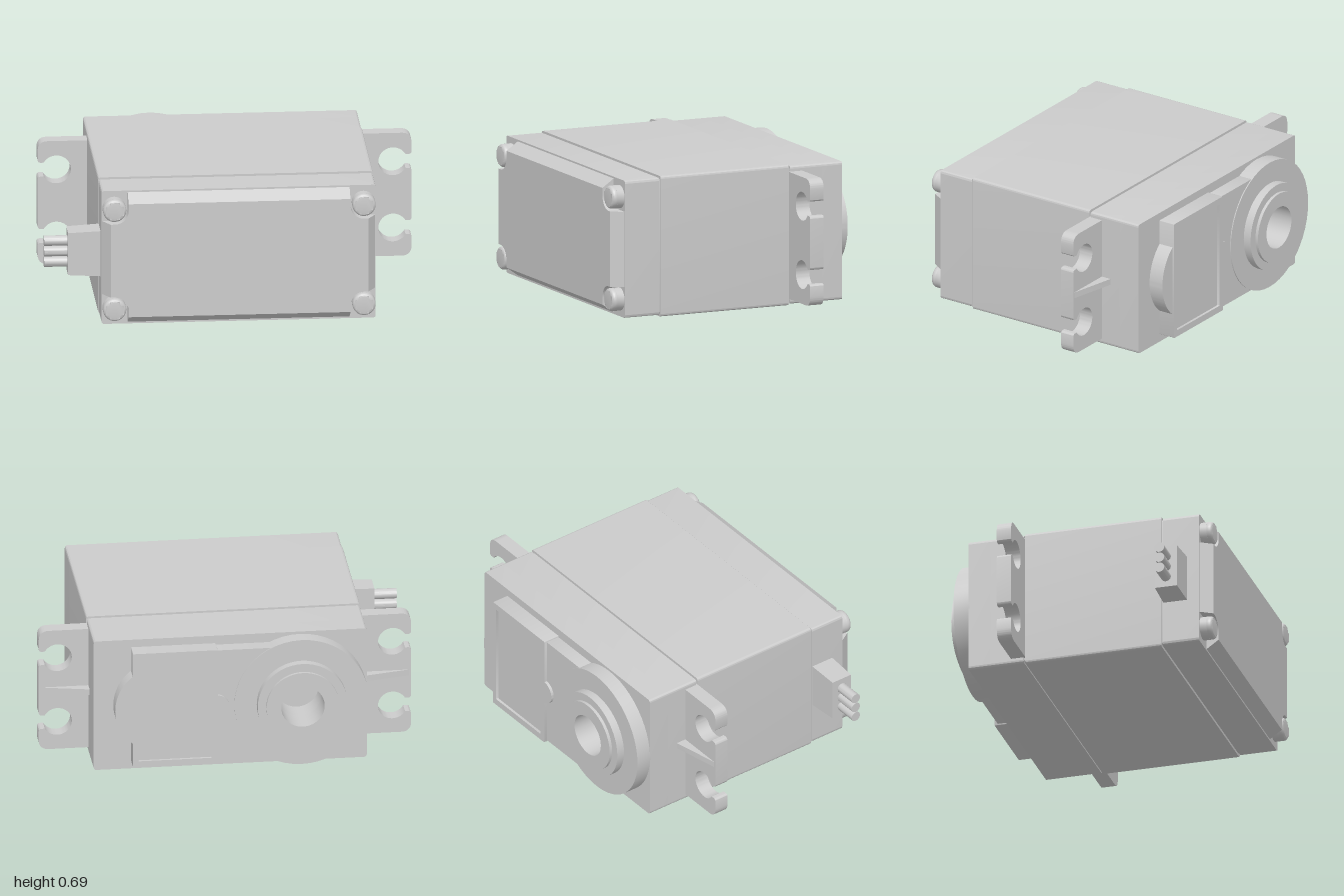
import * as THREE from 'three';
import { toCreasedNormals } from 'three/addons/utils/BufferGeometryUtils.js';

const material = new THREE.MeshStandardMaterial({ color: 0xcccccc });

function add(parent, name, geometry) {
  const mesh = new THREE.Mesh(toCreasedNormals(geometry, 0.55), material);
  mesh.name = name;
  parent.add(mesh);
  return mesh;
}

// Extrude a shape in the xy plane between two z levels
function slab(shape, z0, z1) {
  const g = new THREE.ExtrudeGeometry(shape, { depth: z1 - z0, bevelEnabled: false, curveSegments: 24 });
  return g.translate(0, 0, z0);
}

function rect(x0, x1, h, r = 0.004) {
  const s = new THREE.Shape();
  s.moveTo(x0 + r, -h);
  s.lineTo(x1 - r, -h).quadraticCurveTo(x1, -h, x1, -h + r);
  s.lineTo(x1, h - r).quadraticCurveTo(x1, h, x1 - r, h);
  s.lineTo(x0 + r, h).quadraticCurveTo(x0, h, x0, h - r);
  s.lineTo(x0, -h + r).quadraticCurveTo(x0, -h, x0 + r, -h);
  return s;
}

function circle(x, r, Type = THREE.Shape) {
  const s = new Type();
  s.absarc(x, 0, r, 0, Math.PI * 2, false);
  return s;
}

function withHole(shape, hole) {
  shape.holes.push(hole);
  return shape;
}

// Pan-head screw with a cross recess
function screw() {
  const g = new THREE.Group();
  g.name = 'coverScrew';
  add(g, 'screwBase', new THREE.CylinderGeometry(0.056, 0.056, 0.05, 28).rotateX(Math.PI / 2).translate(0, 0, 0.585));
  const a = 0.007, b = 0.027;
  const cross = new THREE.Path([[a, a], [b, a], [b, -a], [a, -a], [a, -b], [-a, -b], [-a, -a], [-b, -a],
    [-b, a], [-a, a], [-a, b], [a, b]].map(([x, y]) => new THREE.Vector2(x, y)));
  const head = new THREE.ExtrudeGeometry(withHole(circle(0, 0.056), cross), {
    depth: 0.01, bevelThickness: 0.016, bevelSize: 0.016, bevelOffset: -0.016, bevelSegments: 4, curveSegments: 14,
  });
  add(g, 'screwHead', head.translate(0, 0, 0.611));
  return g;
}

// Mounting ear with two open slots and a stiffening rib, on the +x end
function ear() {
  const g = new THREE.Group();
  g.name = 'mountingEar';
  const X = 0.9, H = 0.31, cx = 0.81, r = 0.07, gap = 0.035, c = 0.03, a = Math.asin(gap / r);
  const s = new THREE.Shape();
  s.moveTo(0.6, -H);
  s.lineTo(X - 0.05, -H).quadraticCurveTo(X, -H, X, -H + 0.05);
  for (const cy of [-0.167, 0.167]) {
    s.lineTo(X, cy - gap - c / 2).quadraticCurveTo(X, cy - gap, X - c / 2, cy - gap);
    s.absarc(cx, cy, r, -a, a, true);
    s.lineTo(X - c / 2, cy + gap).quadraticCurveTo(X, cy + gap, X, cy + gap + c / 2);
  }
  s.lineTo(X, H - 0.05).quadraticCurveTo(X, H, X - 0.05, H);
  s.lineTo(0.6, H);
  add(g, 'earPlate', slab(s, -0.367, -0.295));
  const rib = new THREE.Shape([[0.62, -0.35], [0.62, -0.42], [0.66, -0.418], [0.89, -0.368], [0.89, -0.35]]
    .map(([x, y]) => new THREE.Vector2(x, y)));
  add(g, 'earRib', slab(rib, -0.015, 0.015).rotateX(Math.PI / 2));
  return g;
}

export function createModel() {
  const model = new THREE.Group();
  model.name = 'servoMotor';
  const body = new THREE.Group();
  body.name = 'servoBody';
  body.position.set(0.026, 0.343, 0);
  const turned = new THREE.Group();
  turned.name = 'turnedServo';
  turned.rotation.y = -20 * Math.PI / 180;
  turned.add(body);
  model.add(turned);

  // Three stacked case sections
  const bossX = -0.336, bore = 0.105;
  add(body, 'middleCase', slab(rect(-0.662, 0.662, 0.343, 0.015), -0.295, 0.386));
  add(body, 'caseSeam', slab(rect(-0.652, 0.652, 0.33, 0.015), -0.305, 0.395));
  add(body, 'bottomCover', slab(rect(-0.66, 0.66, 0.335, 0.015), 0.393, 0.575));
  add(body, 'gearCase', slab(rect(-0.66, 0.66, 0.337, 0.015), -0.47, -0.303));
  add(body, 'gearCaseTop', slab(withHole(rect(-0.66, 0.66, 0.337, 0.015), circle(bossX, bore, THREE.Path)), -0.58, -0.47));

  // Chamfered cover face with a rounded pocket at each screw
  const sx = 0.6, sy = 0.25, pr = 0.066;
  const quarter = [];
  for (let i = 0; i <= 8; i++) {
    const t = -Math.PI / 2 - (i / 8) * Math.PI / 2;
    quarter.push([sx + pr * Math.cos(t), sy + pr * Math.sin(t)]);
  }
  quarter.unshift([0.66, sy - pr]);
  quarter.push([sx - pr, 0.33]);
  const flip = (kx, ky, rev) => {
    const p = quarter.map(([x, y]) => new THREE.Vector2(x * kx, y * ky));
    return rev ? p.reverse() : p;
  };
  const face = new THREE.Shape([...flip(1, 1), ...flip(-1, 1, true), ...flip(-1, -1), ...flip(1, -1, true)]);
  const faceGeo = slab(face, 0.57, 0.635);
  const p = faceGeo.attributes.position;
  for (let i = 0; i < p.count; i++) {
    if (p.getZ(i) < 0.6) continue;
    p.setX(i, THREE.MathUtils.clamp(p.getX(i), -0.62, 0.62));
    p.setY(i, THREE.MathUtils.clamp(p.getY(i), -0.285, 0.285));
  }
  faceGeo.computeVertexNormals();
  add(body, 'coverFace', faceGeo);

  for (const x of [-sx, sx]) for (const y of [-sy, sy]) {
    const s = screw();
    s.position.set(x, y, 0);
    body.add(s);
  }

  // Mounting ears at both ends
  const leftEar = ear(), rightEar = ear();
  rightEar.rotation.z = Math.PI;
  body.add(leftEar, rightEar);

  // Output boss: stepped rings around the bore
  for (const [name, r, z] of [['bossPlate', 0.325, -0.655], ['bossRing', 0.217, -0.695], ['bossCollar', 0.176, -0.71]]) {
    add(body, name, slab(withHole(circle(bossX, r), circle(bossX, bore, THREE.Path)), z, -0.575));
  }

  // Raised gear cover with a framed recess, bridge, tab and end lobe
  add(body, 'bridgePlate', slab(rect(-0.2, 0.1, 0.29), -0.65, -0.575));
  add(body, 'framePlate', slab(withHole(rect(0.07, 0.48, 0.298), rect(0.1, 0.455, 0.265)), -0.665, -0.575));
  add(body, 'recessedPanel', slab(rect(0.09, 0.46, 0.27), -0.652, -0.575));
  const tab = new THREE.Shape();
  tab.absarc(0.075, 0, 0.06, Math.PI / 2, Math.PI * 1.5, false);
  add(body, 'frameTab', slab(tab, -0.664, -0.6));
  const lobe = new THREE.Shape();
  const lobeR = 0.223, lobeA = Math.asin(0.175 / lobeR);
  lobe.absarc(0.565 - lobeR, 0, lobeR, -lobeA, lobeA, false);
  add(body, 'endLobe', slab(lobe, -0.655, -0.575));

  // Cable strain relief (tapered) and three wires
  const block = new THREE.BoxGeometry(0.18, 0.23, 0.12).translate(-0.726, 0, 0.455);
  const bp = block.attributes.position;
  for (let i = 0; i < bp.count; i++) {
    if (bp.getX(i) < -0.75) {
      bp.setY(i, bp.getY(i) * 0.92);
      bp.setZ(i, 0.455 + (bp.getZ(i) - 0.455) * 0.92);
    }
  }
  block.computeVertexNormals();
  add(body, 'cableRelief', block);
  for (const y of [-0.053, 0, 0.053]) {
    add(body, 'wire', new THREE.CylinderGeometry(0.025, 0.025, 0.15, 20).rotateZ(Math.PI / 2).translate(-0.853, y, 0.455));
  }
  return model;
}
